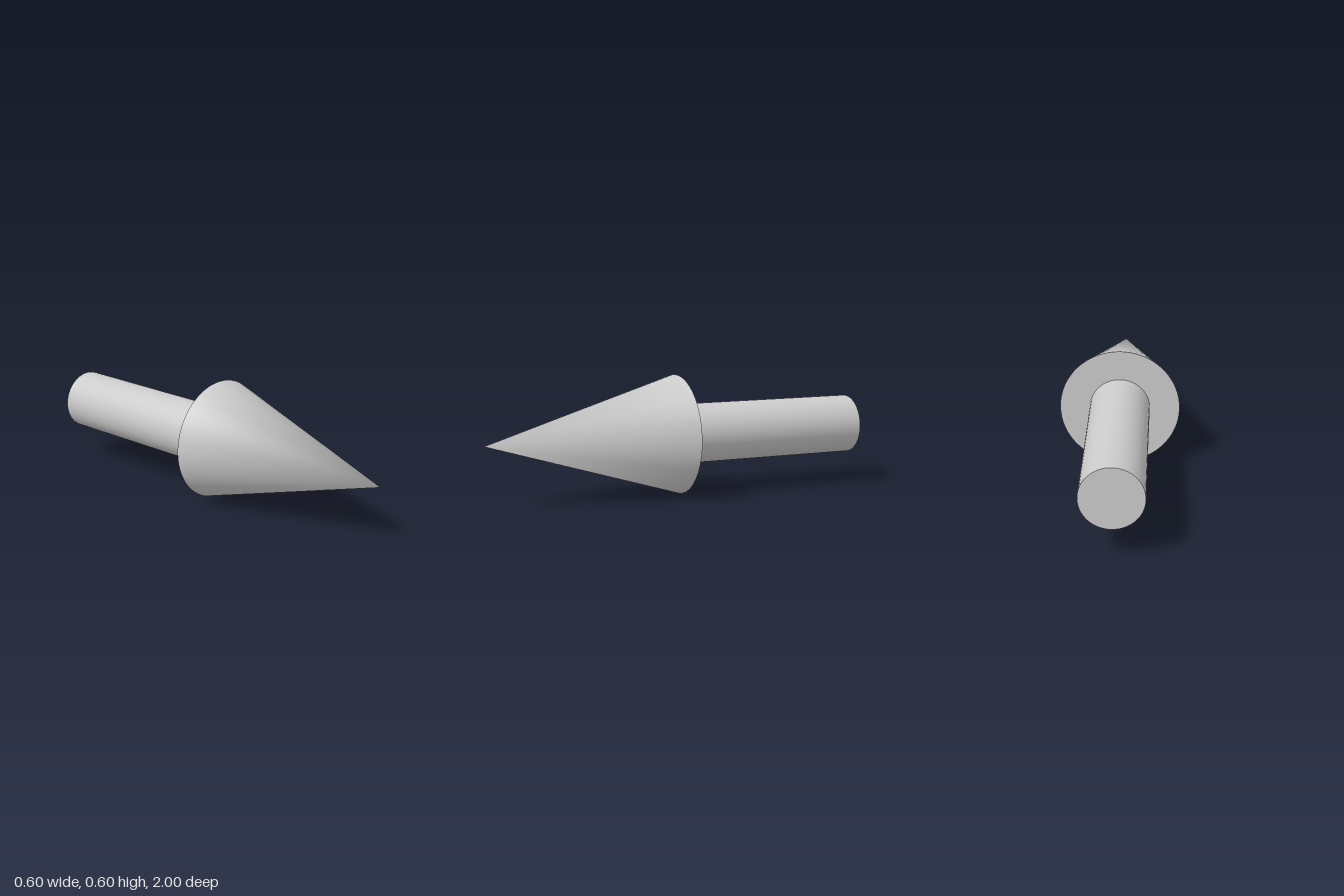
import * as THREE from 'three';

const SIDES = 64;
const AXIS_HEIGHT = 0.3;

export function createModel() {
  const model = new THREE.Group();
  model.name = 'arrow';
  const material = new THREE.MeshStandardMaterial({ color: 0xcccccc });

  // Lay a part along the z axis, pointing forward
  const addPart = (name, geometry, z) => {
    geometry.rotateX(Math.PI / 2);
    const mesh = new THREE.Mesh(geometry, material);
    mesh.name = name;
    mesh.position.set(0, AXIS_HEIGHT, z);
    model.add(mesh);
  };

  // Head: cone shaded smoothly over its tip
  const head = new THREE.ConeGeometry(0.3, 1, SIDES);
  for (let i = 0; i <= SIDES; i++) head.attributes.normal.setXYZ(i, 0, 1, 0);
  addPart('arrowHead', head, 0.5);

  // Shaft: round rod ending at the flat back of the head
  addPart('arrowShaft', new THREE.CylinderGeometry(0.15, 0.15, 1, SIDES), -0.5);

  return model;
}
